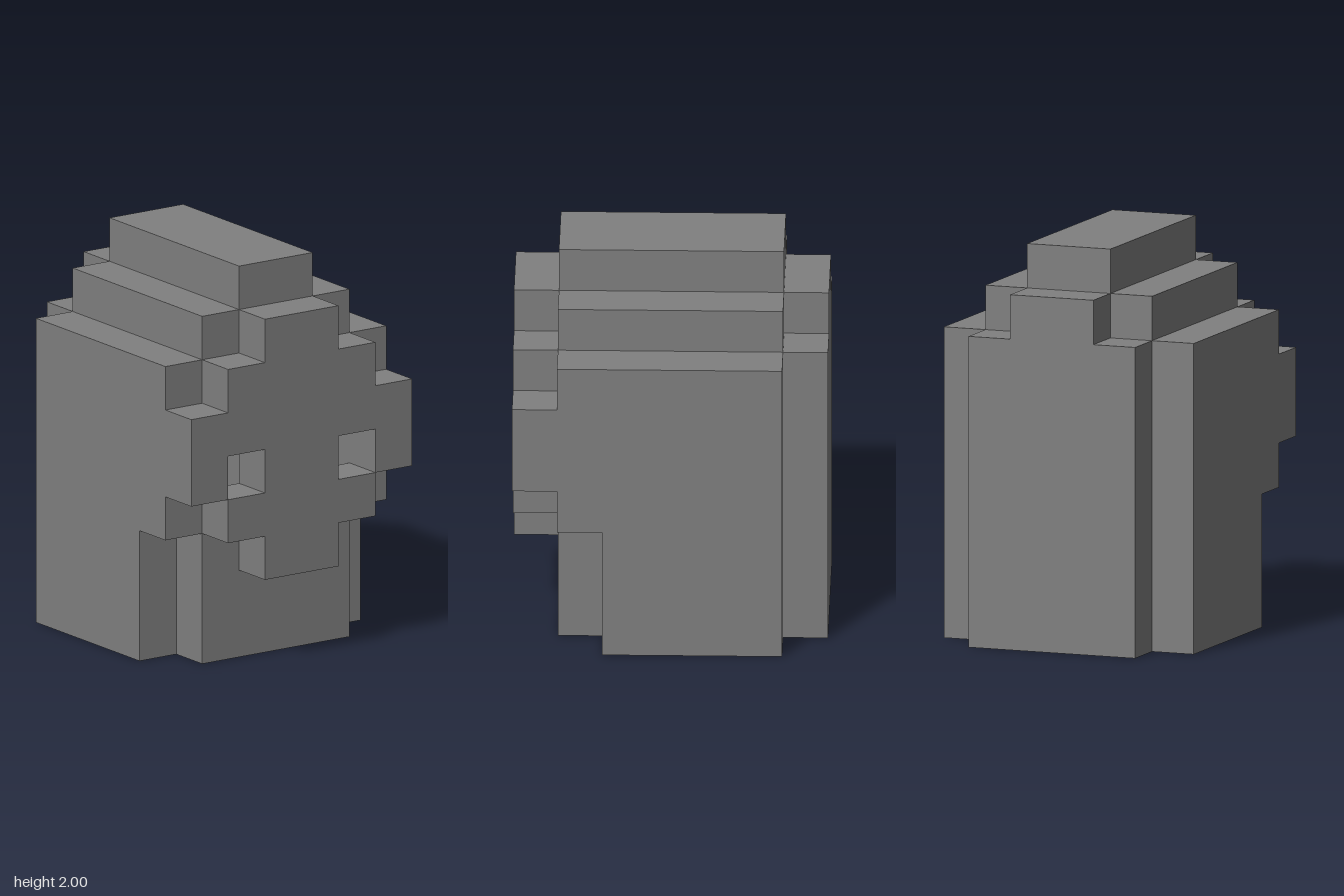
import * as THREE from 'three';

const U = 2 / 9; // one block

export function createModel() {
  const model = new THREE.Group();
  model.name = 'blockHelmet';
  const grey = new THREE.MeshStandardMaterial({ color: 0x808080 });
  grey.name = 'grey';

  const add = (name, geometry) => {
    geometry.scale(U, U, U);
    const mesh = new THREE.Mesh(geometry, grey);
    mesh.name = name;
    model.add(mesh);
  };
  const points = (list) => list.map(([x, y]) => new THREE.Vector2(x, y));
  // Closed outline mirrored from its right half, listed bottom to top
  const mirrored = (half) =>
    new THREE.Shape(points([...half, ...half.map(([x, y]) => [-x, y]).reverse()]));
  // Plate one block thick
  const plate = (shape) => new THREE.ExtrudeGeometry(shape, { depth: 1, bevelEnabled: false });
  const block = (x0, x1, y0, y1, z0, z1) =>
    new THREE.BoxGeometry(x1 - x0, y1 - y0, z1 - z0)
      .translate((x0 + x1) / 2, (y0 + y1) / 2, (z0 + z1) / 2);

  // Face plate with open eye holes
  const face = mirrored([
    [1, 2], [1, 3], [2, 3], [2, 4], [3, 4], [3, 6], [2, 6], [2, 7], [1, 7], [1, 8],
  ]);
  for (const x of [-2, 1]) {
    face.holes.push(new THREE.Path(points([[x, 4], [x, 5], [x + 1, 5], [x + 1, 4]])));
  }
  add('facePlate', plate(face).translate(0, 0, 2.5));

  // Stepped back plate
  add('backPlate', plate(mirrored([[2, 0], [2, 7], [1, 7], [1, 8]])).translate(0, 0, -3.5));

  // Set-back chin wall
  add('chinWall', block(-2, 2, 0, 3, 1.5, 2.5));

  // Side walls, notched at the lower front, and the roof steps above them
  const side = new THREE.Shape(points([
    [-2.5, 0], [1.5, 0], [1.5, 3], [2.5, 3], [2.5, 7], [-2.5, 7],
  ]));
  for (const [name, s] of [['left', 1], ['right', -1]]) {
    add(name + 'Wall', plate(side).rotateY(-Math.PI / 2).translate(s * 2.5 + 0.5, 0, 0));
    add(name + 'RoofStep', block(s * 1.5 - 0.5, s * 1.5 + 0.5, 7, 8, -2.5, 2.5));
  }

  // Top ridge
  add('roofRidge', block(-1, 1, 8, 9, -2.5, 2.5));

  return model;
}
